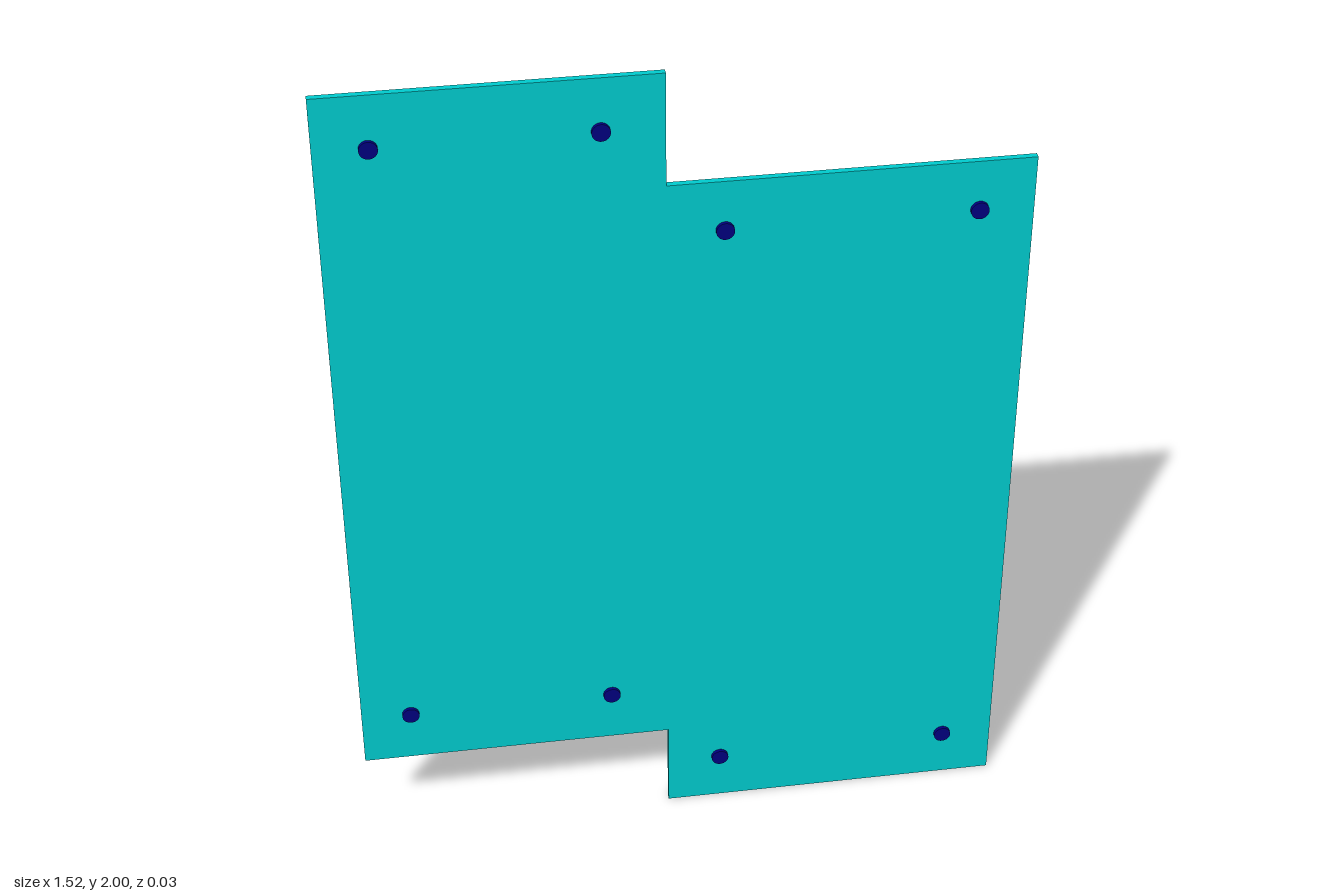
import * as THREE from 'three';

const PLATE_DEPTH = 0.015;
const PIN_RADIUS = 0.02;
const PIN_LENGTH = 0.032;

export function createModel() {
  const model = new THREE.Group();
  model.name = 'steppedPanel';

  const plateMaterial = new THREE.MeshStandardMaterial({ color: 0x00ced1 });
  const pinMaterial = new THREE.MeshStandardMaterial({ color: 0x000080 });

  // Stepped plate: two offset rectangles joined in one outline
  const outline = new THREE.Shape([
    [-0.76, 0.225], [-0.035, 0.225], [-0.035, 0], [0.76, 0],
    [0.76, 1.735], [-0.035, 1.735], [-0.035, 2], [-0.76, 2],
  ].map(([x, y]) => new THREE.Vector2(x, y)));
  const plateGeometry = new THREE.ExtrudeGeometry(outline, { depth: PLATE_DEPTH, bevelEnabled: false });
  plateGeometry.translate(0, 0, -PLATE_DEPTH / 2);
  const plate = new THREE.Mesh(plateGeometry, plateMaterial);
  plate.name = 'plate';
  model.add(plate);

  // Round pins through the plate, near the corners of each half
  const pinGeometry = new THREE.CylinderGeometry(PIN_RADIUS, PIN_RADIUS, PIN_LENGTH, 32);
  pinGeometry.rotateX(Math.PI / 2);
  const pins = new THREE.Group();
  pins.name = 'pins';
  const halves = [
    { name: 'rightPin', xs: [-0.645, -0.17], ys: [0.357, 1.877] },
    { name: 'leftPin', xs: [0.09, 0.64], ys: [0.125, 1.617] },
  ];
  for (const { name, xs, ys } of halves) {
    for (const x of xs) {
      for (const y of ys) {
        const pin = new THREE.Mesh(pinGeometry, pinMaterial);
        pin.name = name;
        pin.position.set(x, y, 0);
        pins.add(pin);
      }
    }
  }
  model.add(pins);

  return model;
}
